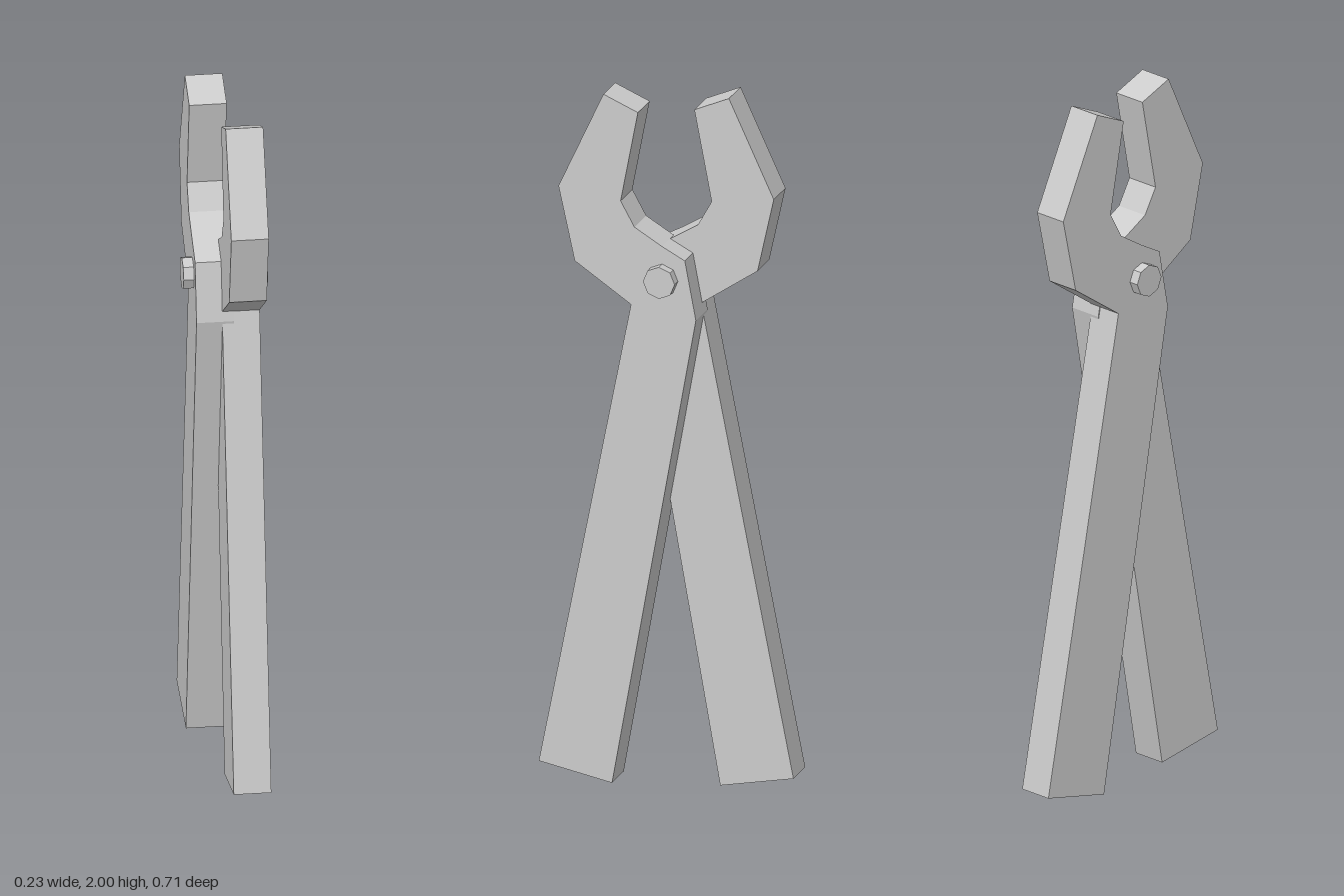
import * as THREE from 'three';

const OUTER = 0.088;      // outer face of each half
const THICKNESS = 0.104;  // the halves interlock slightly at the middle
const PIVOT_Y = 1.478;

// Outline of one half as (z, y): handle, hub and hooked jaw in one piece
const OUTLINE = [
  [0.145, 0], [0.357, 0.042], [0.09, 1.397],             // handle end and outer edge
  [0.253, 1.507], [0.3, 1.72], [0.17, 2], [0.07, 1.957], // jaw back and tip
  [0.12, 1.695], [0.08, 1.623], [0, 1.575],              // jaw mouth
  [-0.066, 1.54], [-0.098, 1.37],                        // hub and back to the handle
];

export function createModel() {
  const model = new THREE.Group();
  model.name = 'tongs';
  const material = new THREE.MeshStandardMaterial({ color: 0xcccccc, flatShading: true });

  // Extruded half, turned so the outline lies in the z-y plane
  const shape = new THREE.Shape(OUTLINE.map(([z, y]) => new THREE.Vector2(z, y)));
  const halfGeometry = new THREE.ExtrudeGeometry(shape, { depth: THICKNESS, bevelEnabled: false });
  halfGeometry.rotateY(-Math.PI / 2).translate(OUTER, 0, 0);

  // The second half is the first turned half way round
  ['leftHalf', 'rightHalf'].forEach((name, i) => {
    const half = new THREE.Mesh(halfGeometry, material);
    half.name = name;
    half.rotation.y = i * Math.PI;
    model.add(half);
  });

  // Eight-sided rivet through the hub
  const rivetGeometry = new THREE.CylinderGeometry(0.046, 0.046, 0.234, 8);
  rivetGeometry.rotateZ(Math.PI / 2);
  const rivet = new THREE.Mesh(rivetGeometry, material);
  rivet.name = 'rivet';
  rivet.position.y = PIVOT_Y;
  model.add(rivet);

  return model;
}
